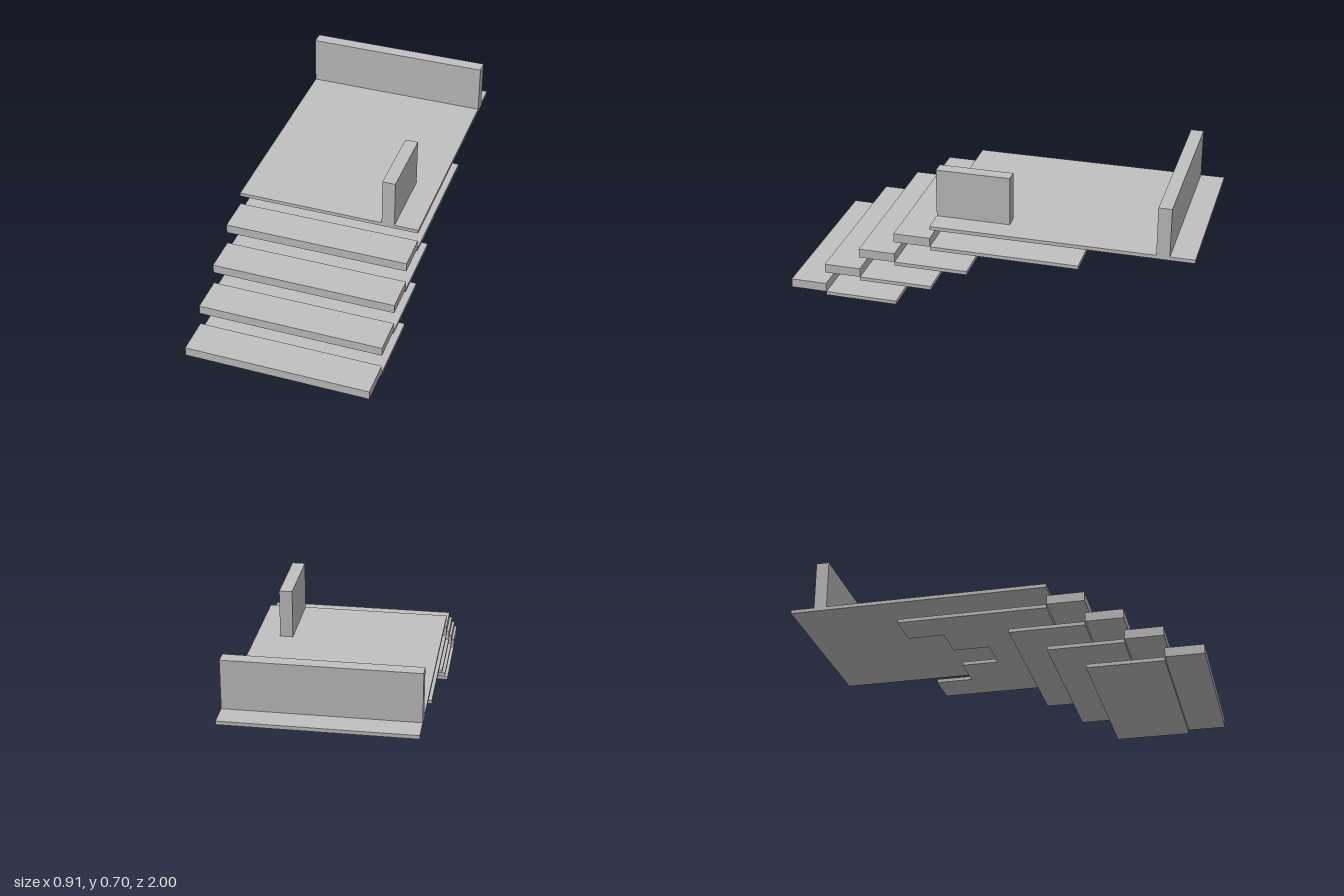
import * as THREE from 'three';

const U = 2 / 11;         // plan grid cell
const W = 5 * U;          // full width
const SLAB = 0.1 * U;     // slab thickness
const TREAD = 0.25 * U;   // tread thickness
const RISE = 0.6 * U;     // height between levels

export function createModel() {
  const group = new THREE.Group();
  const grey = new THREE.MeshStandardMaterial({ color: 0xc0c0c0 });
  grey.name = 'concrete grey';

  // Box given by its minimum and maximum corners
  function block(name, x0, x1, y0, y1, z0, z1) {
    const mesh = new THREE.Mesh(new THREE.BoxGeometry(x1 - x0, y1 - y0, z1 - z0), grey);
    mesh.position.set((x0 + x1) / 2, (y0 + y1) / 2, (z0 + z1) / 2);
    mesh.name = name;
    group.add(mesh);
  }

  // Four treads, each set in front of the slab that carries it
  for (let i = 0; i < 4; i++) {
    const y = i * RISE, front = 1 - i * U;
    block('tread' + (i + 1), -W / 2, W / 2, y + SLAB, y + SLAB + TREAD, front - U, front);
    if (i < 3) block('slab' + (i + 1), -W / 2, W / 2, y, y + SLAB, front - 3 * U, front - U);
  }

  // Fourth slab: back edge stepped inwards to the middle, one depth per column
  const front = 1 - 4 * U;
  const outline = [[-W / 2, front]];
  [4, 3, 2, 3, 4].forEach((depth, c) => {
    const x = -W / 2 + c * U, z = front - depth * U;
    outline.push([x, z], [x + U, z]);
  });
  outline.push([W / 2, front]);
  const shape = new THREE.Shape(outline.map(([x, z]) => new THREE.Vector2(x, -z)));
  const geometry = new THREE.ExtrudeGeometry(shape, { depth: SLAB, bevelEnabled: false });
  geometry.rotateX(-Math.PI / 2);
  const notched = new THREE.Mesh(geometry, grey);
  notched.position.y = 3 * RISE;
  notched.name = 'notchedSlab';
  group.add(notched);

  // Upper deck with its back wall and short side wall
  const deckY = 4 * RISE, floor = deckY + SLAB, top = floor + U * 4 / 3, thick = 0.35 * U;
  block('deck', -W / 2, W / 2, deckY, floor, -1, front);
  block('backWall', -W / 2, W / 2, floor, top, -1 + U - thick, -1 + U);
  block('sideWall', 1.5 * U, 1.5 * U + thick, floor, top, front - 2 * U, front);

  return group;
}
